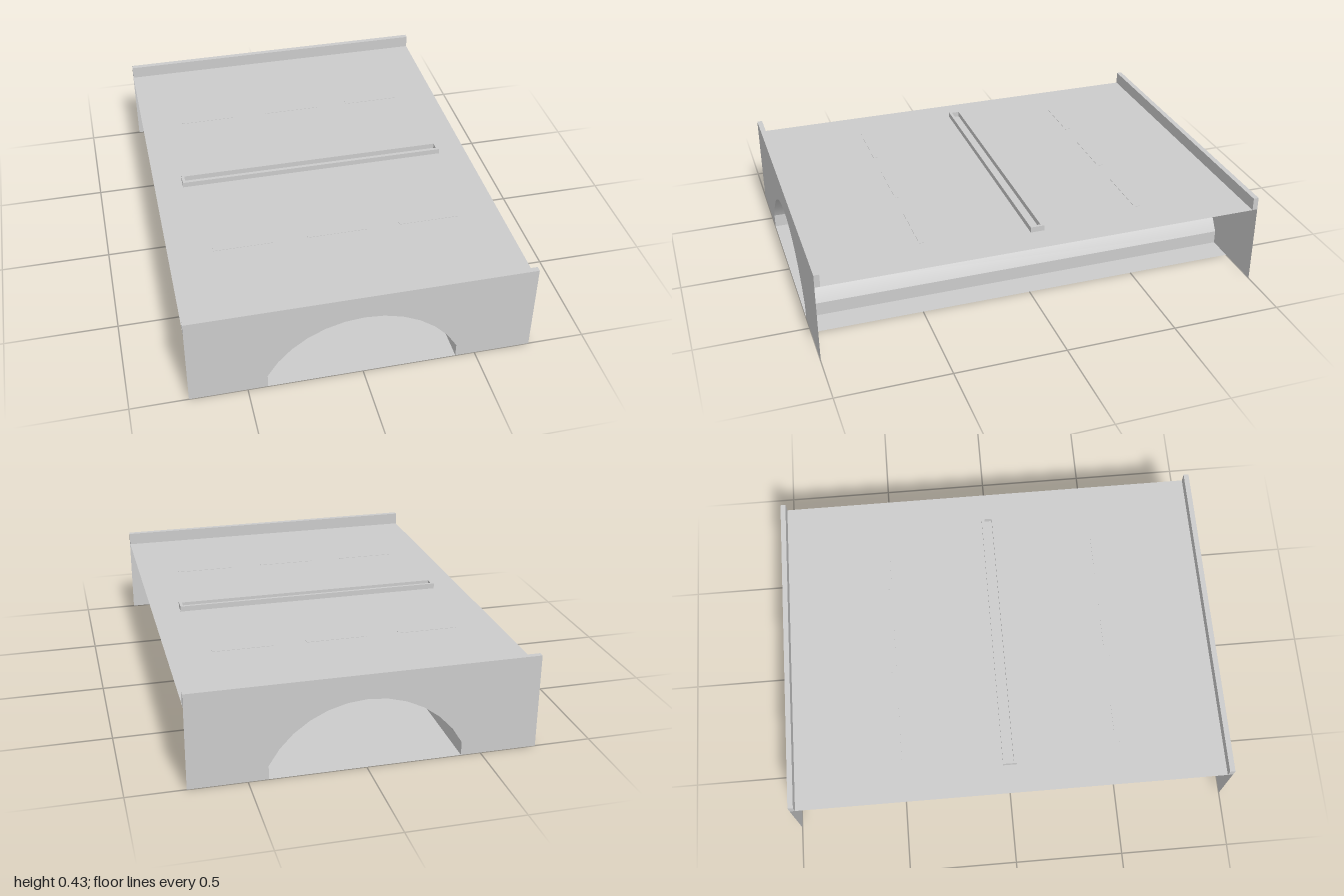
import * as THREE from 'three';

const W = 1.5, L = 2, DECK = 0.367, TOP = 0.425;
const ARCH_X = 0.414, SPRING = 0.062, R = 0.466, CY = -0.152;
const SEGMENTS = 12;
const A = Math.asin(ARCH_X / R);

export function createModel() {
  const group = new THREE.Group();
  const solid = new THREE.MeshStandardMaterial({ color: 0xcccccc });
  const sheet = new THREE.MeshStandardMaterial({ color: 0xcccccc, side: THREE.DoubleSide });

  const add = (name, geometry, material, x = 0, y = 0, z = 0) => {
    const mesh = new THREE.Mesh(geometry, material);
    mesh.name = name;
    mesh.position.set(x, y, z);
    group.add(mesh);
    return mesh;
  };

  // Flat deck on top and floor beneath the arch
  const flat = (w) => new THREE.PlaneGeometry(w, L).rotateX(-Math.PI / 2);
  add('deck', flat(W), sheet, 0, DECK);
  add('floor', flat(1.07), sheet);

  // End wall outline with the arched opening
  const wall = new THREE.Shape();
  wall.moveTo(-W / 2, 0);
  wall.lineTo(-ARCH_X, 0);
  for (let i = 0; i <= SEGMENTS; i++) {
    const a = -A + (2 * A * i) / SEGMENTS;
    wall.lineTo(R * Math.sin(a), CY + R * Math.cos(a));
  }
  wall.lineTo(ARCH_X, 0);
  wall.lineTo(W / 2, 0);
  wall.lineTo(W / 2, DECK);
  wall.lineTo(-W / 2, DECK);

  for (const s of [1, -1]) {
    const end = s > 0 ? 'front' : 'back';
    const side = s > 0 ? 'left' : 'right';
    const face = add(end + 'Wall', new THREE.ShapeGeometry(wall), sheet, 0, 0, s * L / 2);
    if (s < 0) face.rotation.y = Math.PI;

    // Parapet along the top of the wall
    add(end + 'Parapet', new THREE.BoxGeometry(W, TOP - DECK, 0.024), solid,
      0, (TOP + DECK) / 2, s * (L / 2 - 0.012));

    // Upright strip below the vault
    add(side + 'VaultBase', new THREE.PlaneGeometry(L, SPRING).rotateY(s * Math.PI / 2), sheet,
      s * ARCH_X, SPRING / 2, 0);

    // Row of lane dashes
    for (const x of [-0.42, 0, 0.42]) {
      add(end + 'LaneDash', new THREE.BoxGeometry(0.27, 0.003, 0.025), solid, x, DECK, s * 0.5);
    }
  }

  // Curved vault running the full length
  add('vault', new THREE.CylinderGeometry(R, R, L, SEGMENTS, 1, true, -A, 2 * A).rotateX(-Math.PI / 2),
    sheet, 0, CY, 0);

  // Raised median: a kerb around a sunken strip
  const rect = (path, x, y) => {
    path.moveTo(-x, -y);
    path.lineTo(x, -y);
    path.lineTo(x, y);
    path.lineTo(-x, y);
    path.closePath();
    return path;
  };
  const kerb = rect(new THREE.Shape(), 0.62, 0.031);
  kerb.holes.push(rect(new THREE.Path(), 0.607, 0.018));
  add('medianKerb', new THREE.ExtrudeGeometry(kerb, { depth: 0.025, bevelEnabled: false })
    .rotateX(-Math.PI / 2), solid, 0, DECK, 0);

  return group;
}
